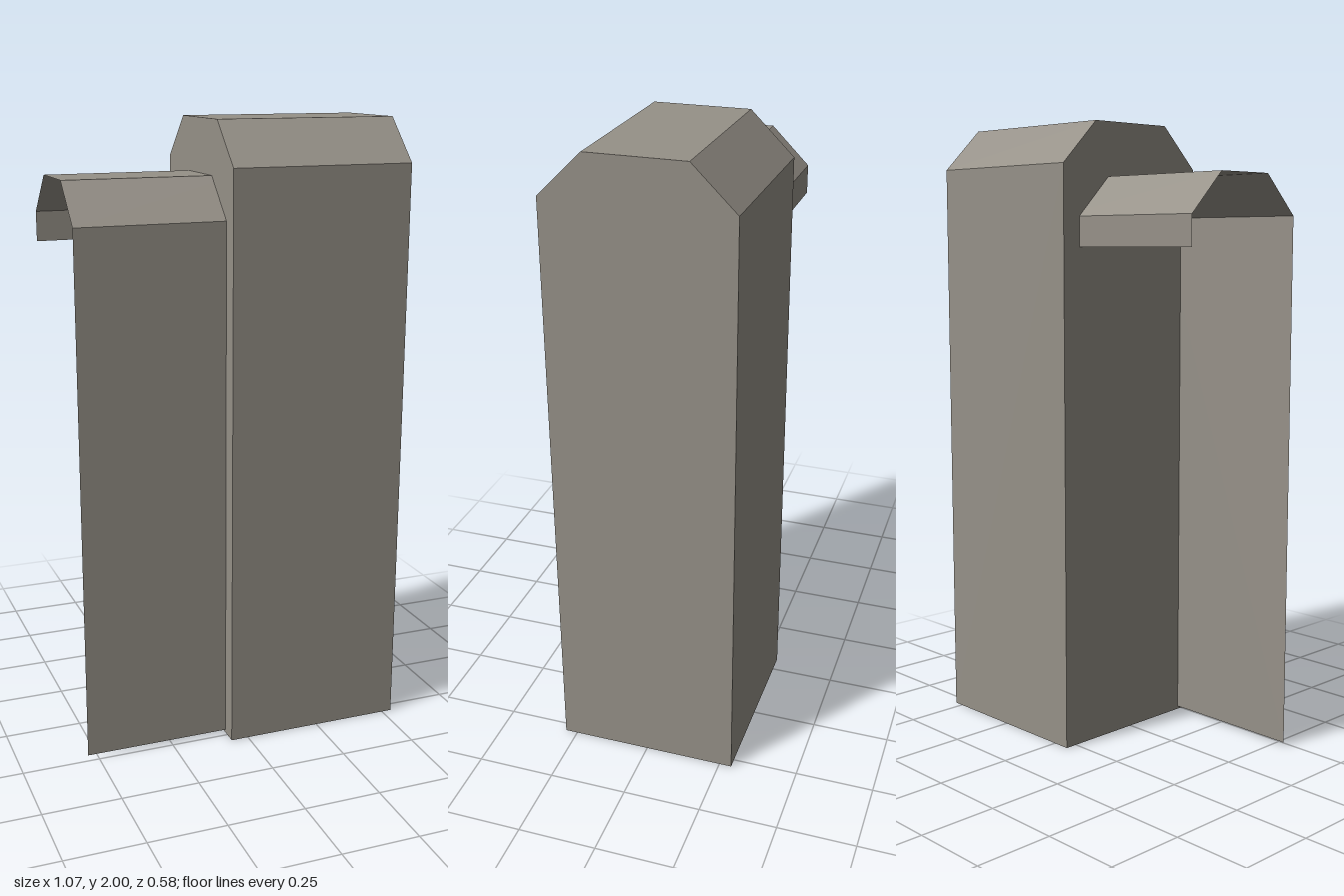
import * as THREE from 'three';

// Open folded sheet: a [z, y] profile, running front to back, swept from x0 to x1
function foldedSheet(profile, x0, x1) {
  const pos = [];
  for (let i = 0; i < profile.length - 1; i++) {
    const [za, ya] = profile[i];
    const [zb, yb] = profile[i + 1];
    pos.push(x0, ya, za, x1, ya, za, x1, yb, zb);
    pos.push(x0, ya, za, x1, yb, zb, x0, yb, zb);
  }
  const geo = new THREE.BufferGeometry();
  geo.setAttribute('position', new THREE.Float32BufferAttribute(pos, 3));
  geo.computeVertexNormals();
  return geo;
}

export function createModel() {
  const group = new THREE.Group();
  const stone = new THREE.MeshStandardMaterial({ color: 0x969188, side: THREE.DoubleSide });
  stone.name = 'warmGreyStone';

  const add = (name, geo) => {
    const mesh = new THREE.Mesh(geo, stone);
    mesh.name = name;
    group.add(mesh);
    return mesh;
  };

  // Tall block: hollow with an open bottom and chamfered roof
  const tall = [[0.29, 0], [0.29, 1.865], [0.153, 2], [-0.153, 2], [-0.29, 1.865], [-0.29, 0]];
  const left = 0.533, right = -0.058;
  add('tallBlockWallsAndRoof', foldedSheet(tall, right, left));

  // Gable ends of the tall block
  const gable = new THREE.Shape(tall.map(([z, y]) => new THREE.Vector2(z, y)));
  for (const [name, side, x] of [['leftGable', 1, left], ['rightGable', -1, right]]) {
    const geo = new THREE.ShapeGeometry(gable);
    geo.rotateY(side * Math.PI / 2);
    geo.translate(x, 0, 0);
    add(name, geo);
  }

  // Lower wing: front wall, roof and short rear lip, tucked into the tall block
  const wing = [[0.233, 0.01], [0.233, 1.705], [0.107, 1.83], [-0.1, 1.83], [-0.225, 1.705], [-0.225, 1.61]];
  add('lowWingWallAndRoof', foldedSheet(wing, -0.533, 0.03));

  return group;
}
